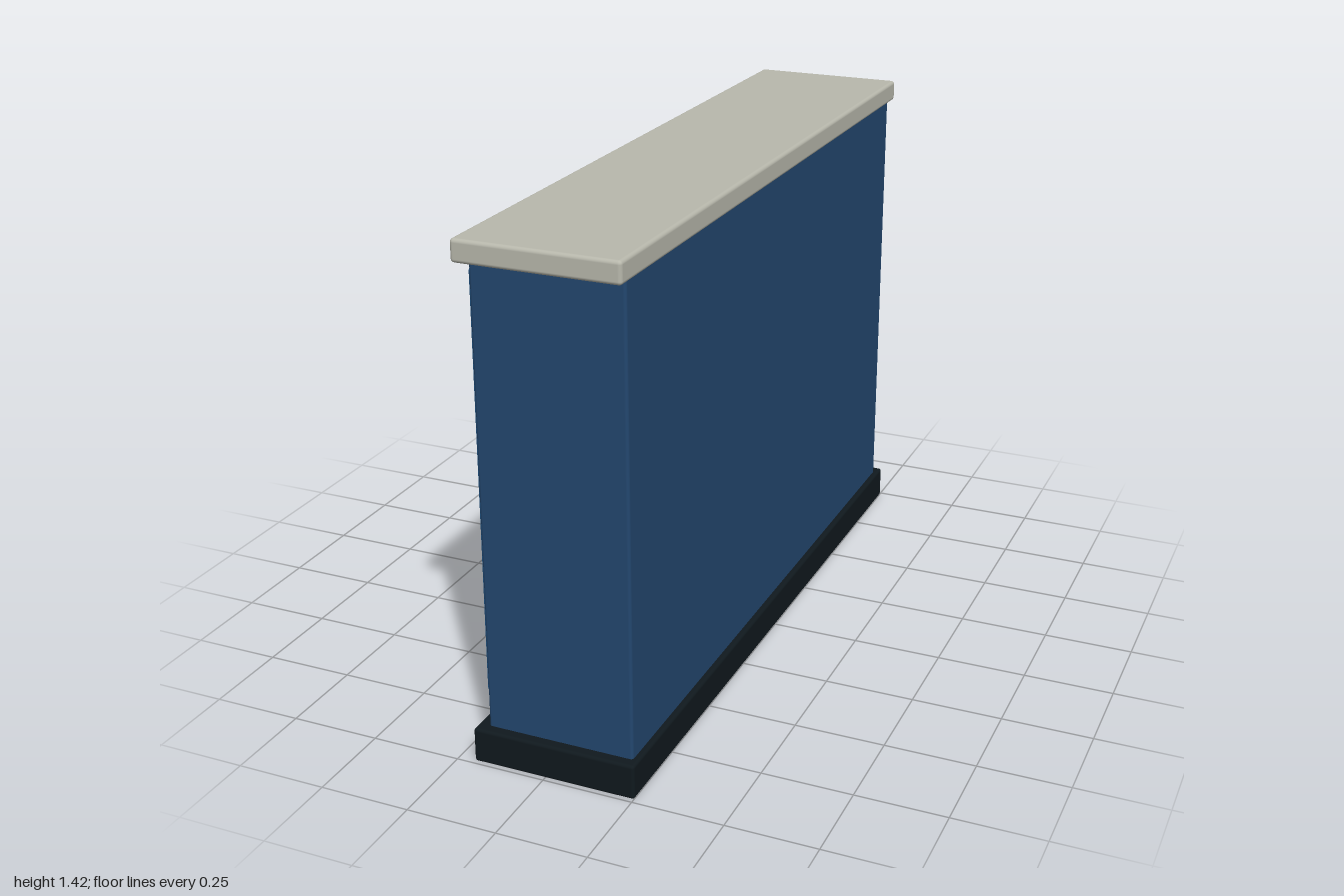
import * as THREE from 'three';
import { RoundedBoxGeometry } from 'three/addons/geometries/RoundedBoxGeometry.js';

const mat = (color) => new THREE.MeshStandardMaterial({ color });

export function createModel() {
  const model = new THREE.Group();
  const bodyBlue = mat(0x23476f), doorBlue = mat(0x27629a);
  const stone = mat(0xb8b8ac), dark = mat(0x10191e);

  // Box given by its extents on each axis, with optionally rounded edges
  function box(parent, name, material, [x0, x1], [y0, y1], [z0, z1], radius = 0) {
    const size = [x1 - x0, y1 - y0, z1 - z0];
    const geometry = radius
      ? new RoundedBoxGeometry(...size, 3, radius)
      : new THREE.BoxGeometry(...size);
    const mesh = new THREE.Mesh(geometry, material);
    mesh.name = name;
    mesh.position.set((x0 + x1) / 2, (y0 + y1) / 2, (z0 + z1) / 2);
    parent.add(mesh);
  }

  // Cabinet shell
  box(model, 'base', dark, [-0.204, 0.252], [0, 0.097], [-0.99, 0.99], 0.008);
  box(model, 'body', bodyBlue, [-0.173, 0.236], [0.08, 1.37], [-0.957, 0.96], 0.008);
  box(model, 'topSlab', stone, [-0.199, 0.244], [1.36, 1.42], [-1, 1], 0.01);

  // Trim strips dividing the door side into bays
  for (const z of [-0.96, -0.31, 0.34]) {
    box(model, 'trimStrip', stone, [-0.205, -0.172], [0.09, 1.335], [z - 0.011, z + 0.011], 0.004);
  }

  // Two matching doors
  for (const z of [-0.655, 0.648]) {
    const door = new THREE.Group();
    door.name = 'door';
    door.position.z = z;
    model.add(door);
    box(door, 'doorPanel', doorBlue, [-0.218, -0.18], [0.145, 1.32], [-0.245, 0.245], 0.016);
    box(door, 'darkInset', dark, [-0.225, -0.212], [0.425, 0.992], [-0.19, 0.19]);
    box(door, 'handle', stone, [-0.255, -0.224], [0.74, 0.9], [-0.19, -0.162], 0.005);
    box(door, 'label', stone, [-0.229, -0.214], [1.13, 1.24], [-0.068, 0.107]);
    // Upper and lower rows of vent slats
    for (const y0 of [0.406, 1.009]) {
      for (let i = 0; i < 5; i++) {
        const y = y0 + i * 0.0365;
        box(door, 'ventSlat', dark, [-0.25, -0.241], [y - 0.005, y + 0.005], [-0.092, 0.137]);
      }
    }
  }
  return model;
}
